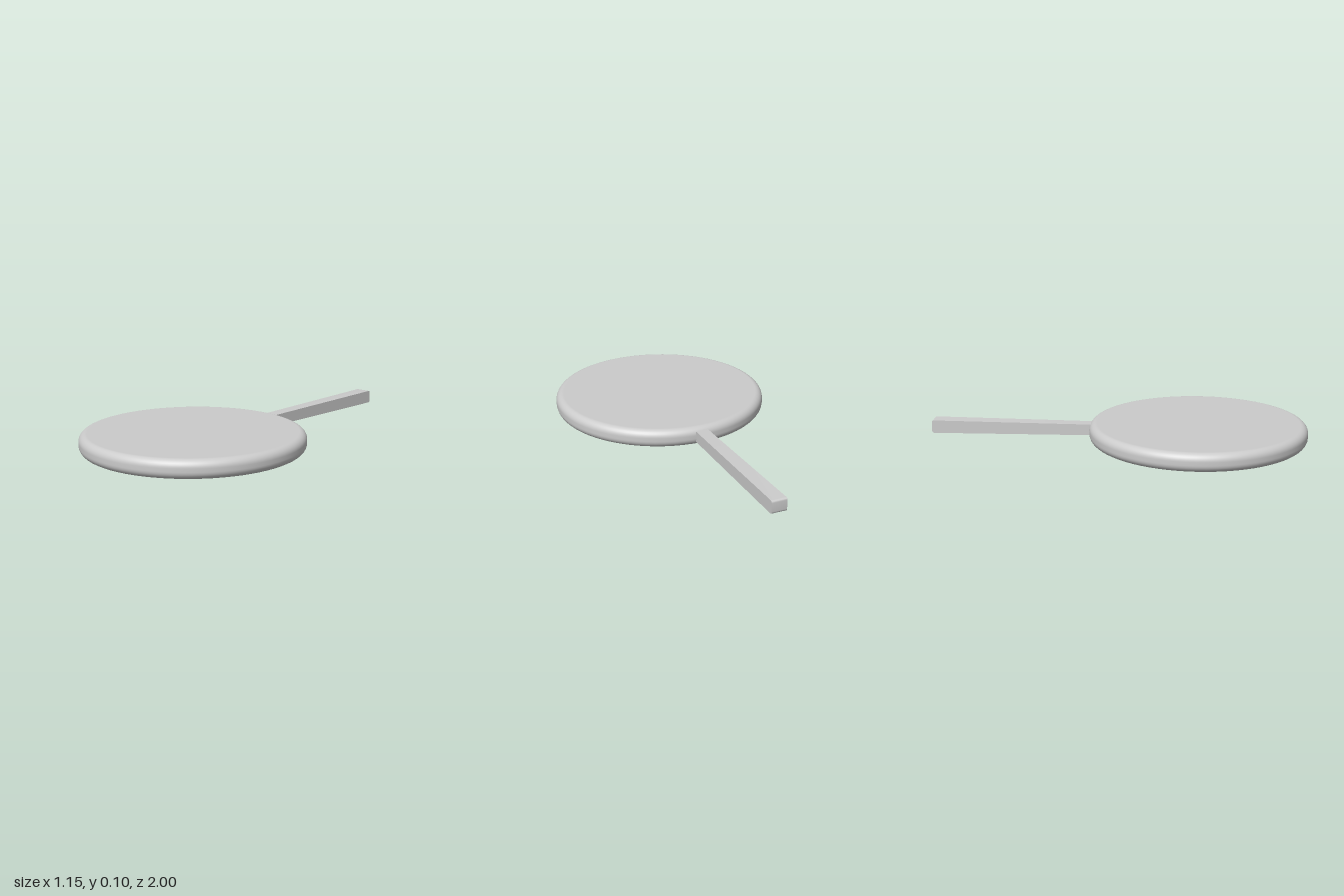
import * as THREE from 'three';
import { toCreasedNormals } from 'three/addons/utils/BufferGeometryUtils.js';

const RADIUS = 0.577, HEIGHT = 0.098, FILLET = 0.04, CENTRE_Z = 0.423;

// Round disc with rounded upper and lower rims
function discGeometry() {
  const points = [new THREE.Vector2(0, 0)];
  const steps = 8;
  for (const [cy, start] of [[FILLET, -Math.PI / 2], [HEIGHT - FILLET, 0]]) {
    for (let i = 0; i <= steps; i++) {
      const a = start + (i / steps) * Math.PI / 2;
      points.push(new THREE.Vector2(RADIUS - FILLET + FILLET * Math.cos(a), cy + FILLET * Math.sin(a)));
    }
  }
  points.push(new THREE.Vector2(0, HEIGHT));
  return new THREE.LatheGeometry(points, 72);
}

// Straight bar, slightly wider and taller toward its rounded back end
function handleGeometry() {
  const start = 0.1, end = 1, r = 0.012;
  const low = 0.018, high = 0.087;
  const side = new THREE.Shape();
  side.moveTo(start, 0.022);
  side.lineTo(end - r, low);
  side.quadraticCurveTo(end, low, end, low + r);
  side.lineTo(end, high - r);
  side.quadraticCurveTo(end, high, end - r, high);
  side.lineTo(start, 0.08);
  side.closePath();

  const geometry = new THREE.ExtrudeGeometry(side, { depth: 1, bevelEnabled: false, curveSegments: 5 });
  geometry.translate(0, 0, -0.5).rotateY(Math.PI / 2);
  const p = geometry.attributes.position;
  for (let i = 0; i < p.count; i++) {
    const t = (-p.getZ(i) - start) / (end - start);
    p.setX(i, p.getX(i) * THREE.MathUtils.lerp(0.068, 0.082, t));
  }
  return toCreasedNormals(geometry, Math.PI / 6);
}

export function createModel() {
  const group = new THREE.Group();
  const material = new THREE.MeshStandardMaterial({ color: 0xcccccc });

  const disc = new THREE.Mesh(discGeometry(), material);
  disc.name = 'disc';
  disc.position.z = CENTRE_Z;

  const handle = new THREE.Mesh(handleGeometry(), material);
  handle.name = 'handle';

  group.add(disc, handle);
  return group;
}
